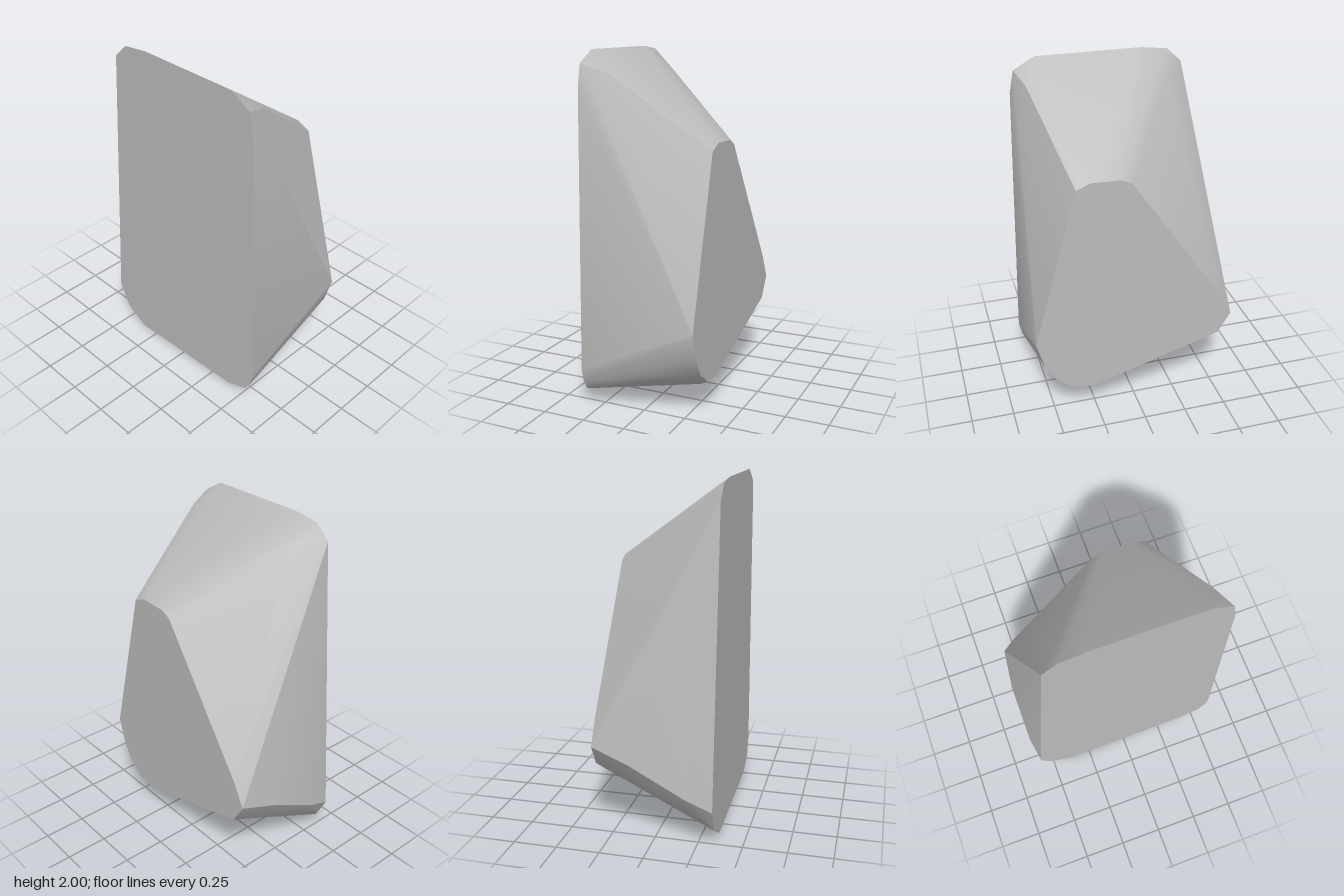
import * as THREE from 'three';
import { ConvexGeometry } from 'three/addons/geometries/ConvexGeometry.js';
import { toCreasedNormals } from 'three/addons/utils/BufferGeometryUtils.js';

// Outline [z, y] of the tall cut side at -x
const tallSide = [
  [0.41, 2], [-0.21, 2], [-0.37, 1.98], [-0.455, 1.9],
  [-0.58, 0.23], [-0.51, 0.09], [-0.37, 0.005],
  [0.41, 0.04], [0.54, 0.09], [0.58, 0.15], [0.6, 0.23],
  [0.56, 1.8], [0.535, 1.93],
];

// Outline [z, y] of the tapered cut side at +x
const taperedSide = [
  [0.35, 1.48], [0.27, 1.515], [0.1, 1.51], [0.04, 1.48],
  [-0.5, 0.69], [-0.575, 0.545], [-0.5, 0.42],
  [0.27, 0.185], [0.4, 0.2], [0.5, 0.28], [0.56, 0.38], [0.605, 0.54],
];

// Corners [x, y, z] between the two sides
const ridges = [
  [0.12, 0.47, -0.605], [-0.2, 0.3, -0.605], // back ridge
  [-0.2, 1.88, 0.49], [0.28, 1.55, 0.335],   // front shoulder
  [-0.2, 1.86, -0.32], [0.29, 1.54, 0.06],   // back shoulder
  [0.28, 0.155, 0.35],                       // lower bevel
];

export function createModel() {
  const group = new THREE.Group();
  group.name = 'rock';
  const stone = new THREE.MeshStandardMaterial({ color: 0xbcbcbc });
  stone.name = 'stone grey';

  const halfWidth = 0.343;
  const points = [
    ...tallSide.map(([z, y]) => new THREE.Vector3(-halfWidth, y, z)),
    ...taperedSide.map(([z, y]) => new THREE.Vector3(halfWidth, y, z)),
    ...ridges.map((p) => new THREE.Vector3(...p)),
  ];

  // Faceted boulder with softened shallow edges
  const boulder = new THREE.Mesh(toCreasedNormals(new ConvexGeometry(points), 0.52), stone);
  boulder.name = 'boulder';
  group.add(boulder);
  return group;
}
